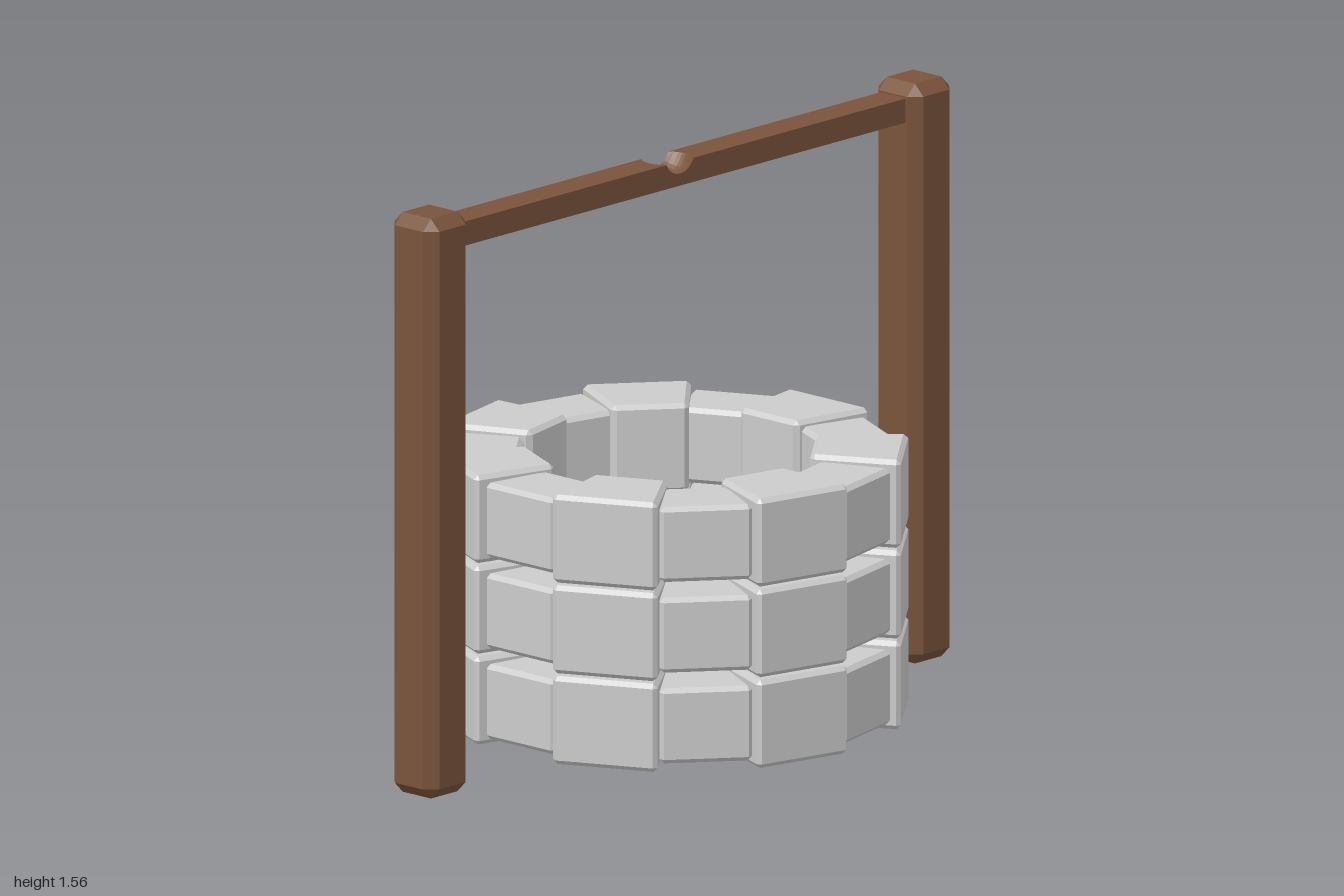
import * as THREE from 'three';
import { ConvexGeometry } from 'three/addons/geometries/ConvexGeometry.js';

const wood = new THREE.MeshStandardMaterial({ color: 0x7a543c, flatShading: true });
const stone = new THREE.MeshStandardMaterial({ color: 0xcccccc, flatShading: true });

// Box with chamfered edges; its width can differ between the back (-z) and front (+z)
function chamferedBlock(backWidth, frontWidth, height, depth, c) {
  const points = [];
  for (const sx of [-1, 1]) for (const sy of [-1, 1]) for (const sz of [-1, 1]) {
    for (let axis = 0; axis < 3; axis++) {
      const z = sz * (depth / 2 - (axis === 2 ? 0 : c));
      const halfWidth = THREE.MathUtils.lerp(backWidth, frontWidth, z / depth + 0.5) / 2;
      points.push(new THREE.Vector3(
        sx * (halfWidth - (axis === 0 ? 0 : c)),
        sy * (height / 2 - (axis === 1 ? 0 : c)),
        z));
    }
  }
  return new ConvexGeometry(points);
}

// Crossbeam with a round hollow scooped out of its top
function beamGeometry() {
  const length = 1.7, rows = 14, top = 1.525, bottom = 1.46;
  const hollow = { y: 1.55, z: 0.017, r: 0.073 };
  const rim = Math.sqrt(hollow.r ** 2 - (hollow.y - top) ** 2);
  const geometry = new THREE.BoxGeometry(0.09, 1, length, 8, 1, rows);
  const p = geometry.attributes.position;
  for (let i = 0; i < p.count; i++) {
    const x = p.getX(i);
    const row = Math.round((p.getZ(i) / length + 0.5) * rows);
    const isTop = p.getY(i) > 0;
    let y = isTop ? top : bottom;
    // inner rows gather inside the rim of the hollow
    if (row > 0 && row < rows) {
      const dz = (row - rows / 2) / (rows / 2 - 1) * Math.sqrt(rim * rim - x * x);
      p.setZ(i, hollow.z + dz);
      if (isTop) y = Math.min(top, hollow.y - Math.sqrt(hollow.r ** 2 - x * x - dz * dz));
    }
    p.setY(i, y);
  }
  geometry.computeVertexNormals();
  return geometry;
}

export function createModel() {
  const model = new THREE.Group();
  model.name = 'well';

  // Two posts and the beam between them
  const postGeometry = chamferedBlock(0.16, 0.16, 1.56, 0.16, 0.03);
  for (const side of [1, -1]) {
    const post = new THREE.Mesh(postGeometry, wood);
    post.name = side > 0 ? 'frontPost' : 'backPost';
    post.position.set(0, 0.78, side * 0.92);
    model.add(post);
  }
  const beam = new THREE.Mesh(beamGeometry(), wood);
  beam.name = 'crossbeam';
  model.add(beam);

  // Three courses of alternating large and small wedge stones
  const large = chamferedBlock(0.2, 0.286, 0.237, 0.238, 0.012);
  const small = chamferedBlock(0.178, 0.245, 0.202, 0.195, 0.012);
  const count = 14;
  for (let level = 0; level < 3; level++) {
    const course = new THREE.Group();
    course.name = 'stoneCourse' + (level + 1);
    course.position.y = 0.153 + level * 0.244;
    course.scale.x = 1.015;
    for (let i = 0; i < count; i++) {
      const isSmall = i % 2 === 0;
      const block = new THREE.Mesh(isSmall ? small : large, stone);
      block.name = isSmall ? 'smallStone' : 'largeStone';
      const angle = i / count * Math.PI * 2;
      const radius = isSmall ? 0.486 : 0.482;
      block.position.set(Math.sin(angle) * radius, 0, Math.cos(angle) * radius);
      block.rotation.y = angle;
      course.add(block);
    }
    model.add(course);
  }
  return model;
}
